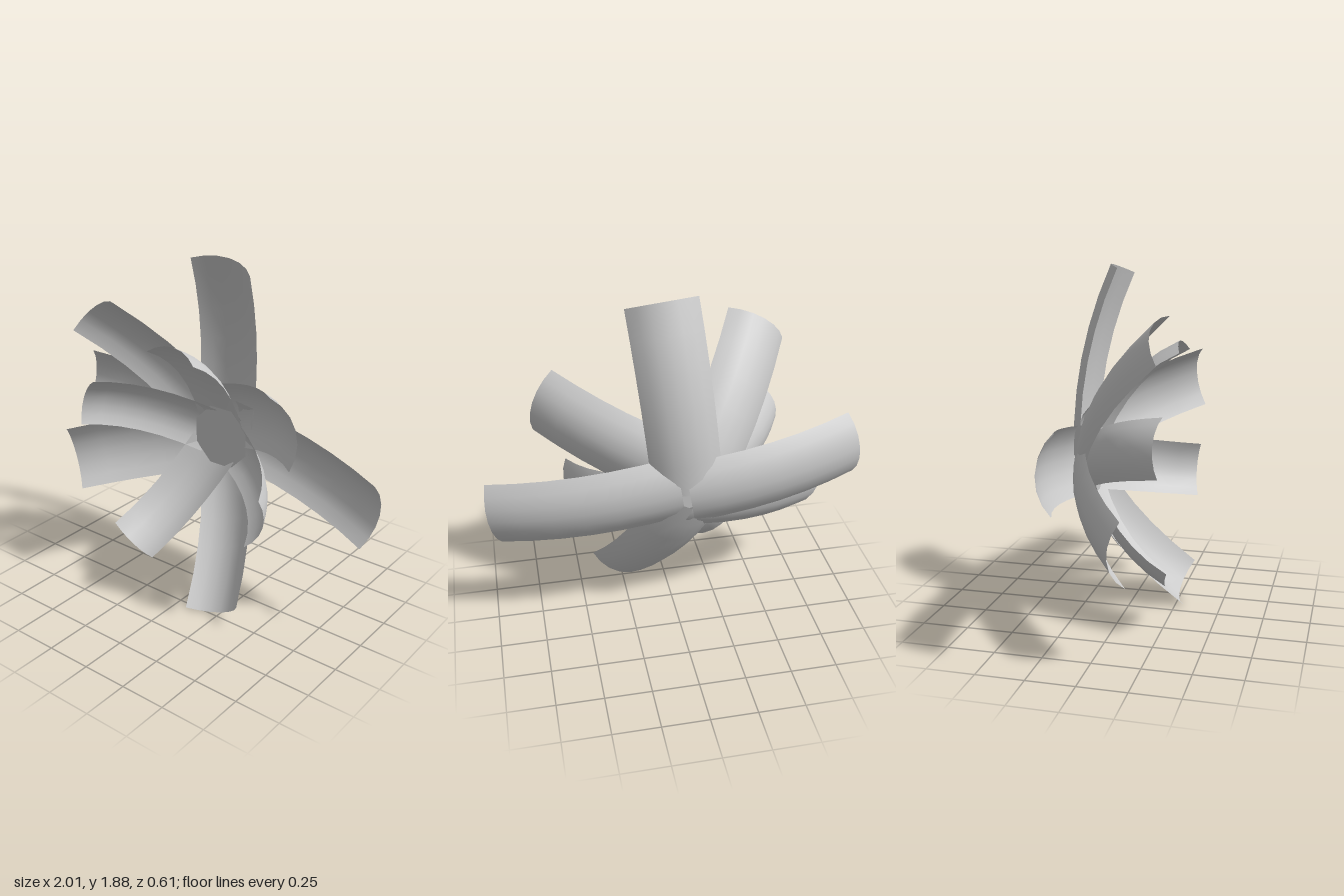
import * as THREE from 'three';

const material = new THREE.MeshStandardMaterial({ color: 0xcccccc, side: THREE.DoubleSide });
const CENTER = new THREE.Vector2(-0.03, 0.85);

// A strip swept along a curved spine (radius, depth), arched across its width.
function petalGeometry(start, control, tip, width, sag) {
  const spine = new THREE.QuadraticBezierCurve(start, control, tip);
  const half = width / 2;
  const radius = (half * half + sag * sag) / (2 * sag);
  const spread = Math.asin(half / radius);
  const geometry = new THREE.PlaneGeometry(1, 1, 6, 6);
  const pos = geometry.attributes.position;
  for (let i = 0; i < pos.count; i++) {
    const t = pos.getX(i) + 0.5;
    const a = pos.getY(i) * 2 * spread;
    const p = spine.getPoint(t);
    const d = spine.getTangent(t);
    const drop = radius * (1 - Math.cos(a)); // edges fall toward the front
    pos.setXYZ(i, p.x - d.y * drop, radius * Math.sin(a), p.y + d.x * drop);
  }
  geometry.computeVertexNormals();
  return geometry;
}

// Tip chord centre (x, y), heading in degrees, spine depths: base, control, tip.
const tiers = [
  {
    name: 'outerPetal', width: 0.375, sag: 0.08, bulge: 0.03, base: 0.02, bend: 0.53,
    petals: [
      [0.05, 1.849, 84, -0.28, -0.31, -0.1],
      [-0.97, 0.99, 171, -0.29, -0.35, -0.18],
      [0.966, 0.729, -9, -0.28, -0.31, -0.105],
    ],
  },
  {
    name: 'middlePetal', width: 0.37, sag: 0.08, bulge: 0.05, base: 0.05, bend: 0.53,
    petals: [
      [0.655, 1.21, 19.5, -0.27, -0.18, 0.24],
      [-0.53, 1.56, 123, -0.27, -0.18, 0.24],
      [-0.852, 0.6, 196, -0.28, -0.21, 0.12],
      [0.246, 0.075, 292.5, -0.27, -0.18, 0.24],
    ],
  },
  {
    name: 'innerPetal', width: 0.3, sag: 0.06, bulge: 0.05, base: 0.11, bend: 0.76,
    petals: [
      [-0.01, 1.445, 87, -0.21, -0.05, 0.275],
      [-0.605, 1.056, 158.5, -0.21, -0.05, 0.275],
      [0.505, 0.68, -16, -0.21, -0.05, 0.275],
      [-0.297, 0.305, 245.5, -0.21, -0.05, 0.275],
    ],
  },
];

export function createModel() {
  const group = new THREE.Group();
  group.name = 'flower';

  for (const tier of tiers) {
    tier.petals.forEach(([x, y, degrees, z0, z1, z2], i) => {
      const angle = THREE.MathUtils.degToRad(degrees);
      const along = new THREE.Vector2(Math.cos(angle), Math.sin(angle));
      const across = new THREE.Vector2(-along.y, along.x);
      const reach = new THREE.Vector2(x, y).sub(CENTER);
      const length = reach.dot(along) + tier.bulge;
      const offset = reach.dot(across);
      const petal = new THREE.Mesh(
        petalGeometry(
          new THREE.Vector2(tier.base, z0),
          new THREE.Vector2(length * tier.bend, z1),
          new THREE.Vector2(length, z2),
          tier.width, tier.sag
        ),
        material
      );
      petal.name = `${tier.name}${i + 1}`;
      petal.position.set(CENTER.x + across.x * offset, CENTER.y + across.y * offset, 0);
      petal.rotation.z = angle;
      group.add(petal);
    });
  }

  // Flat disc covering the petal bases
  const disc = new THREE.Mesh(new THREE.CircleGeometry(0.185, 8, Math.PI / 8), material);
  disc.name = 'centerDisc';
  disc.position.set(-0.04, 0.845, -0.16);
  group.add(disc);

  // Stand the flower on the ground, centred
  const box = new THREE.Box3().setFromObject(group, true);
  const mid = box.getCenter(new THREE.Vector3());
  for (const part of group.children) part.position.sub(new THREE.Vector3(mid.x, box.min.y, mid.z));
  return group;
}
